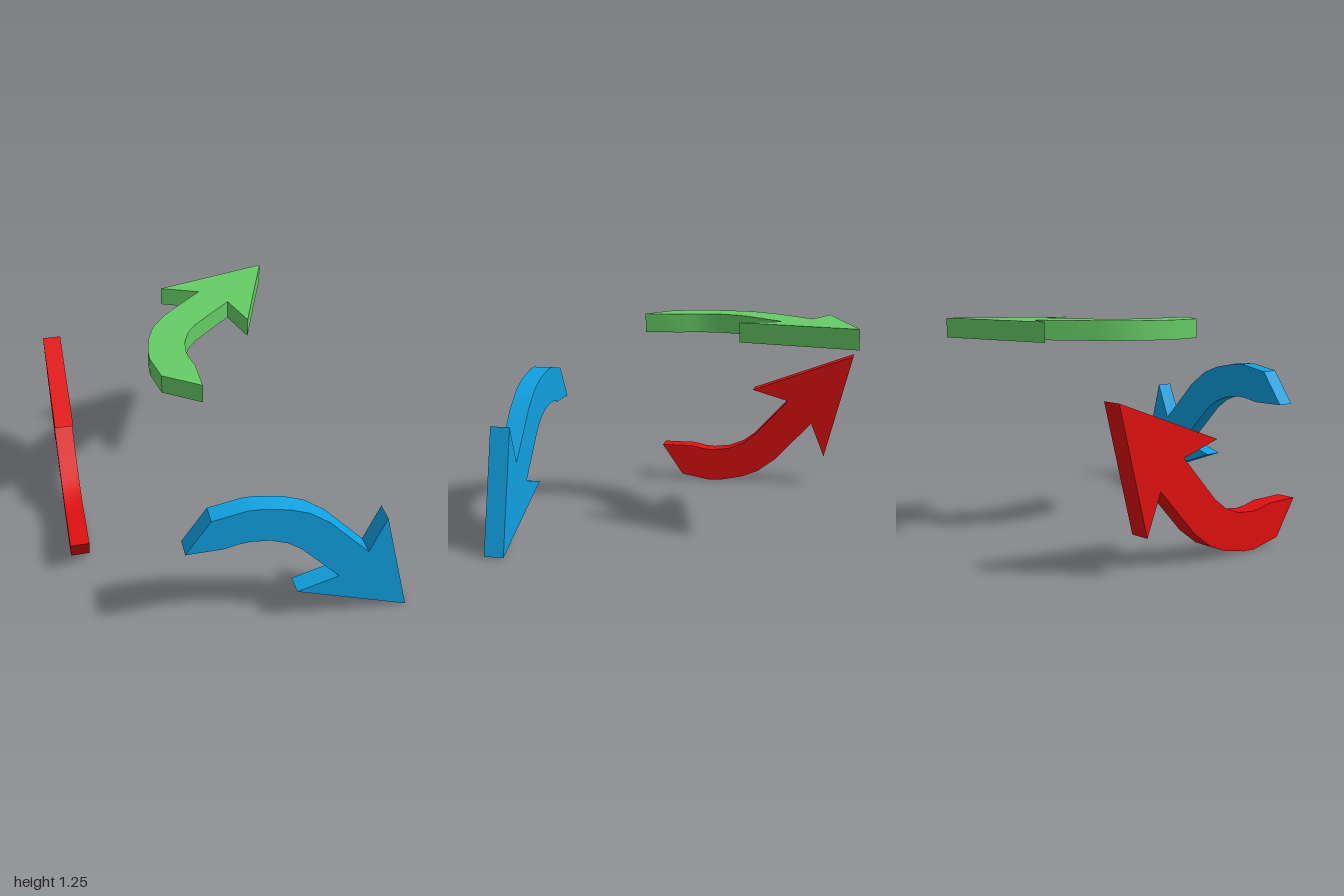
import * as THREE from 'three';
import { toCreasedNormals } from 'three/addons/utils/BufferGeometryUtils.js';

const THICKNESS = 0.112;

// Curved arrow outline: outer bend, head, inner bend, slanted tail
const OUTLINE = [
  [-0.37, 0.66], [-0.23, 0.865], [-0.04, 0.9], [0.04, 0.896], [0.19, 0.865], [0.3, 0.82], [0.42, 0.73],
  [0.66, 0.47], [0.75, 0.695], [0.93, 0.003], [0.26, 0.25], [0.5, 0.32],
  [0.27, 0.57], [0.19, 0.63], [0.09, 0.67], [-0.02, 0.683], [-0.08, 0.678], [-0.16, 0.66],
];

// Extruded arrow, centred in depth; tilt leans it slightly along its length
function arrowGeometry(tilt) {
  const shape = new THREE.Shape(OUTLINE.map(([x, y]) => new THREE.Vector2(x, y)));
  const geometry = new THREE.ExtrudeGeometry(shape, { depth: THICKNESS, bevelEnabled: false });
  geometry.translate(0, 0, -THICKNESS / 2);
  const p = geometry.attributes.position;
  for (let i = 0; i < p.count; i++) p.setZ(i, p.getZ(i) + tilt * (p.getX(i) - 0.28));
  return toCreasedNormals(geometry, 0.45);
}

// Places an arrow with its own axes (along, across, normal) at an origin
function arrow(name, color, tilt, along, across, origin) {
  const mesh = new THREE.Mesh(arrowGeometry(tilt), new THREE.MeshStandardMaterial({ color }));
  const a = new THREE.Vector3(...along);
  const b = new THREE.Vector3(...across);
  const basis = new THREE.Matrix4().makeBasis(a, b, a.clone().cross(b));
  mesh.quaternion.setFromRotationMatrix(basis);
  mesh.position.set(...origin);
  mesh.name = name;
  return mesh;
}

export function createModel() {
  const group = new THREE.Group();
  group.name = 'axisArrows';
  group.add(
    // Upright arrow at the front, pointing down to the left
    arrow('blueFrontArrow', 0x10a0e0, -0.0085, [1, 0, 0], [0, 1, 0], [0, 0, 0.937]),
    // Upright arrow at the right side, pointing up and back
    arrow('redSideArrow', 0xe01010, -0.0085, [0, 0, -1], [0, -1, 0], [-0.875, 0.9, -0.03]),
    // Flat arrow on top, pointing back
    arrow('greenTopArrow', 0x66cc66, 0.0105, [0, 0, -1], [-1, 0, 0], [0.535, 1.185, -0.07]),
  );
  return group;
}
